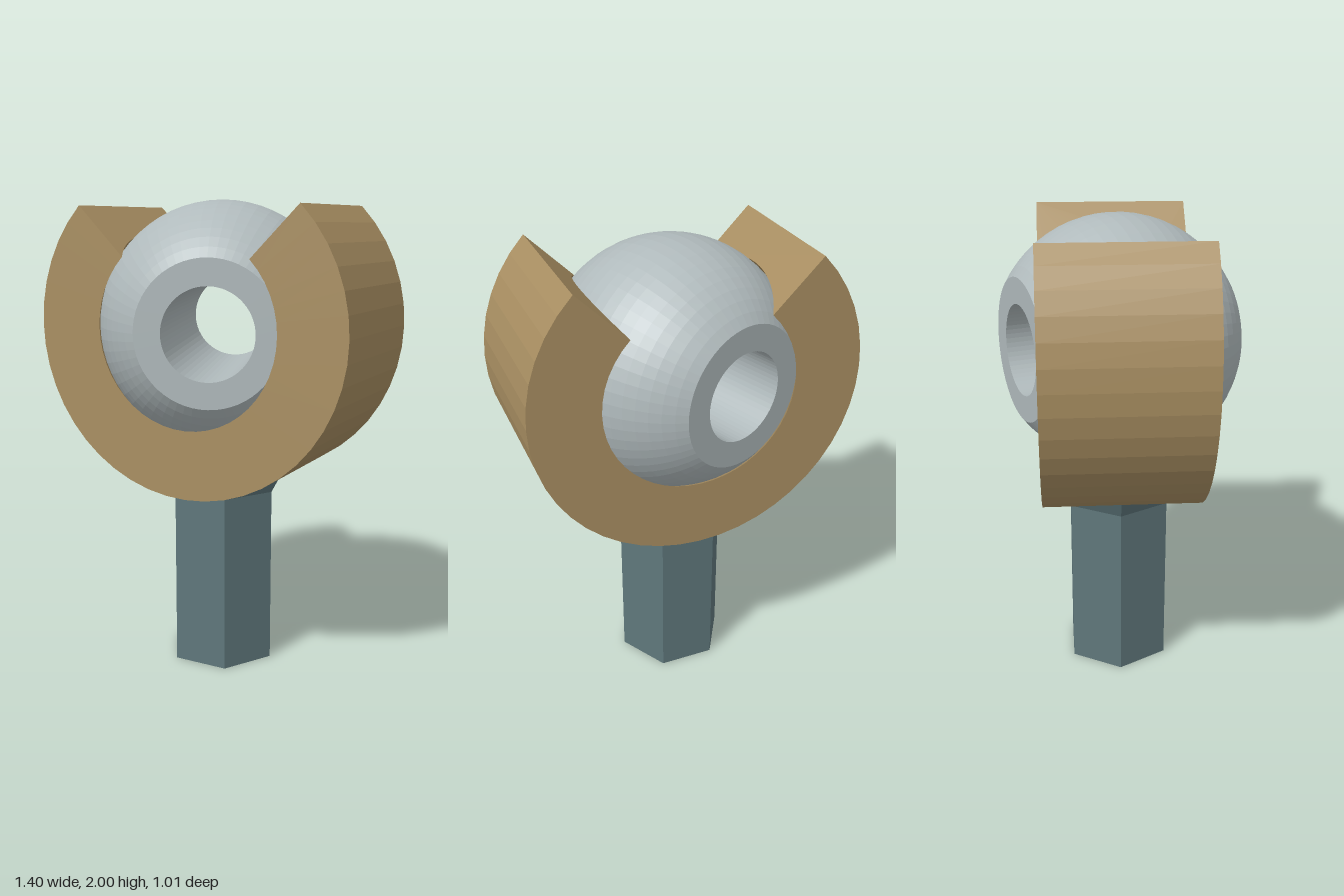
import * as THREE from 'three';

const CENTER_Y = 1.48;

const material = (color, side = THREE.FrontSide) =>
  new THREE.MeshStandardMaterial({ color, flatShading: true, side });

// Arc of a sphere profile (radius, axial position) between two axial heights
function sphereArc(radius, from, to, steps) {
  const a = Math.asin(from / radius), b = Math.asin(to / radius);
  return Array.from({ length: steps + 1 }, (_, i) => {
    const t = a + ((b - a) * i) / steps;
    return new THREE.Vector2(radius * Math.cos(t), radius * Math.sin(t));
  });
}

function named(name, geometry, mat) {
  const mesh = new THREE.Mesh(geometry, mat);
  mesh.name = name;
  return mesh;
}

// Three-quarter ring with a spherical socket, open at the top
function createHousing() {
  const group = new THREE.Group();
  group.name = 'socketHousing';
  const outer = 0.7, half = 0.33;
  const mat = material(0xa98f62, THREE.DoubleSide);
  const inner = sphereArc(0.525, half, -half, 16);
  const profile = [
    inner[inner.length - 1].clone(),
    new THREE.Vector2(outer, -half),
    new THREE.Vector2(outer, half),
    ...inner,
  ];
  const start = -0.75 * Math.PI, sweep = 1.5 * Math.PI;
  const ring = new THREE.LatheGeometry(profile, 36, start, sweep).rotateX(Math.PI / 2);
  group.add(named('socketRing', ring, mat));

  // Flat cut faces at both ends of the opening
  for (const [name, phi] of [['rightCutFace', start], ['leftCutFace', start + sweep]]) {
    const face = new THREE.ShapeGeometry(new THREE.Shape(profile.slice(1)))
      .rotateY(phi - Math.PI / 2)
      .rotateX(Math.PI / 2);
    group.add(named(name, face, mat));
  }
  group.position.y = CENTER_Y;
  return group;
}

// Truncated ball with a bore, swivelled in its socket
function createBall() {
  const radius = 0.52, half = 0.428, bore = 0.187;
  const arc = sphereArc(radius, -half, half, 20);
  const profile = [
    ...arc,
    new THREE.Vector2(bore, half),
    new THREE.Vector2(bore, -half),
    arc[0].clone(),
  ];
  const geometry = new THREE.LatheGeometry(profile, 60).rotateX(Math.PI / 2);
  const ball = named('boredBall', geometry, material(0xb0babc));
  ball.position.y = CENTER_Y;
  ball.rotation.y = THREE.MathUtils.degToRad(20);
  return ball;
}

// Hexagonal shank with a flared collar running into the housing
function createStem() {
  const group = new THREE.Group();
  group.name = 'stem';
  const mat = material(0x5f777b);
  const hex = (top, bottom, y0, y1, open) =>
    new THREE.CylinderGeometry(top, bottom, y1 - y0, 6, 1, open, Math.PI / 6)
      .translate(0, (y0 + y1) / 2, 0);
  group.add(named('hexShank', hex(0.24, 0.24, 0, 0.765, false), mat));
  group.add(named('flaredCollar', hex(0.3, 0.24, 0.765, 0.877, false), mat));
  return group;
}

export function createModel() {
  const model = new THREE.Group();
  model.name = 'ballJointRodEnd';
  model.add(createHousing(), createBall(), createStem());
  return model;
}
